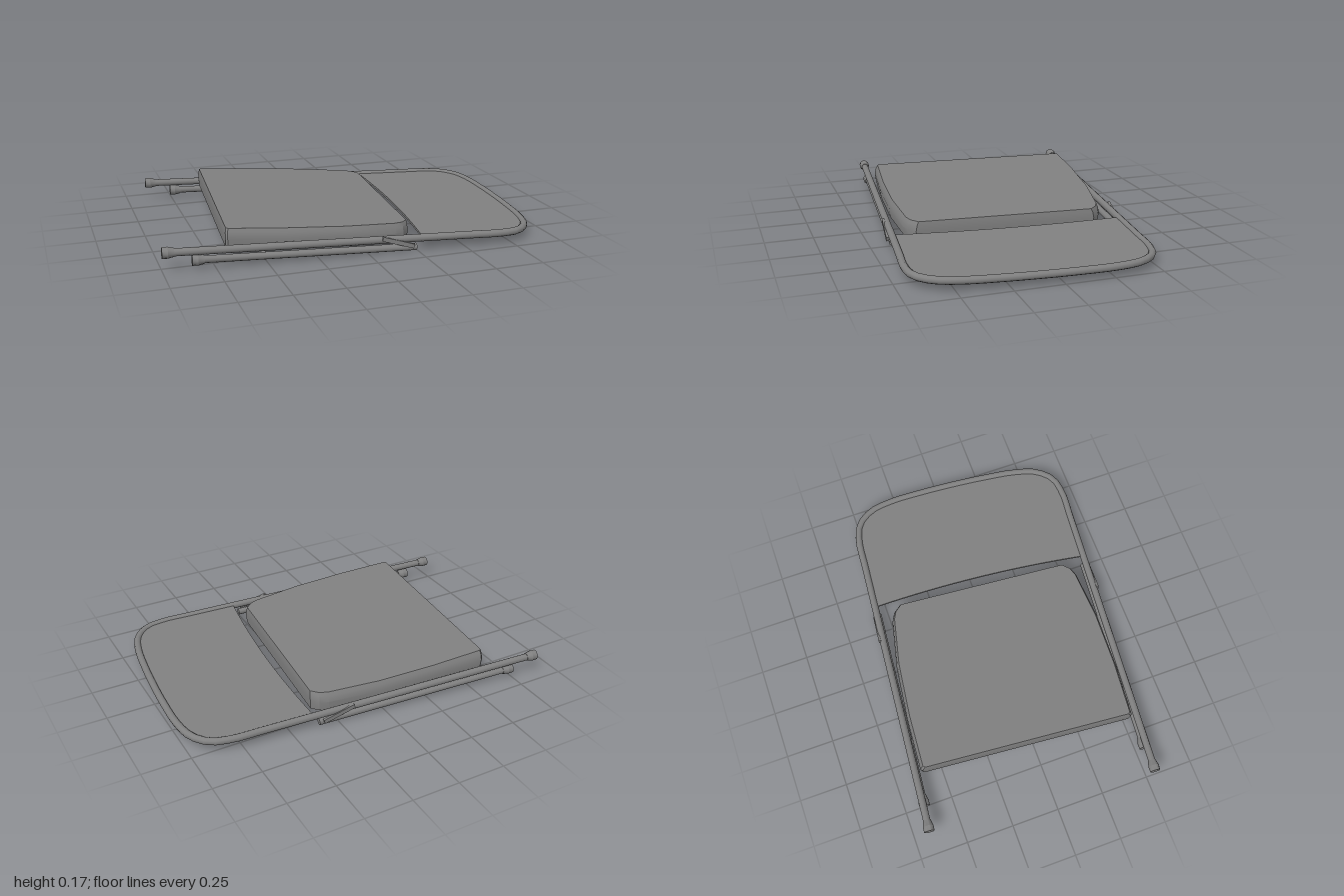
import * as THREE from 'three';
import { toCreasedNormals } from 'three/addons/utils/BufferGeometryUtils.js';

const material = new THREE.MeshStandardMaterial({ color: 0x808080, side: THREE.DoubleSide });

// Heights of the tilted parts along the chair
const frameY = (u) => 0.072 - 0.024 * u;
const rearY = (u) => 0.0255 - 0.0245 * u;
const seatY = (u) => 0.133 - 0.065 * u;

function add(parent, name, geometry) {
  const mesh = new THREE.Mesh(geometry, material);
  mesh.name = name;
  parent.add(mesh);
  return mesh;
}

// Cylinder or cone running from a to b
function rod(parent, name, a, b, ra, rb = ra) {
  const dir = new THREE.Vector3().subVectors(b, a);
  const geometry = toCreasedNormals(new THREE.CylinderGeometry(rb, ra, dir.length(), 10), 0.9);
  const mesh = add(parent, name, geometry);
  mesh.position.addVectors(a, b).multiplyScalar(0.5);
  mesh.quaternion.setFromUnitVectors(new THREE.Vector3(0, 1, 0), dir.normalize());
}

// Rubber foot: blunt cap with a short taper onto the tube
function foot(parent, name, u, w, heightAt) {
  const at = (du) => new THREE.Vector3(u + du, heightAt(u + du), w);
  rod(parent, name, at(0.028), at(0), 0.028, 0.027);
  rod(parent, name, at(0.058), at(0.028), 0.021, 0.028);
}

// Mirror half an outline across w = 0
const mirrored = (half) => [...half, ...half.slice().reverse().filter(([, w]) => w !== 0).map(([u, w]) => [u, -w])];

// Closed cushion made of scaled outline loops: [u scale, w scale, drop below the top]
function seatGeometry() {
  const outline = mirrored([
    [-0.645, 0.562], [-0.635, 0.572], [-0.35, 0.577], [-0.05, 0.566], [0.217, 0.53], [0.26, 0.512], [0.294, 0.475],
  ]);
  const rings = [
    [0, 0, 0], [0.99, 0.97, 0], [0.997, 0.988, 0.02], [1, 1, 0.05], [0.995, 0.99, 0.1], [0, 0, 0.1],
  ];
  const centre = -0.17, n = outline.length, pos = [], index = [];
  for (const [su, sw, drop] of rings) {
    for (const [u0, w] of outline) {
      const u = centre + (u0 - centre) * su;
      pos.push(u, seatY(u) - drop, w * sw);
    }
  }
  for (let r = 0; r < rings.length - 1; r++) {
    for (let i = 0; i < n; i++) {
      const a = r * n + i, b = r * n + (i + 1) % n, c = a + n, d = b + n;
      if (r < rings.length - 2) index.push(a, c, d);
      if (r > 0) index.push(a, d, b);
    }
  }
  const geometry = new THREE.BufferGeometry();
  geometry.setAttribute('position', new THREE.Float32BufferAttribute(pos, 3));
  geometry.setIndex(index);
  return toCreasedNormals(geometry, 0.4);
}

export function createModel() {
  const model = new THREE.Group();
  model.name = 'foldedChair';
  const chair = new THREE.Group();
  chair.name = 'chair';
  chair.rotation.y = -0.0855;
  chair.position.set(-0.001, 0, 0.016);
  model.add(chair);

  // Long bent tube: front legs and back rail in one loop
  const bend = mirrored([[0.74, 0.603], [0.85, 0.577], [0.922, 0.495], [0.954, 0.37], [0.966, 0.2], [0.97, 0]]);
  const path = [[-0.92, 0.603], [0, 0.603], [0.6, 0.603], ...bend, [0.6, -0.603], [0, -0.603], [-0.92, -0.603]];
  const curve = new THREE.CatmullRomCurve3(path.map(([u, w]) => new THREE.Vector3(u, frameY(u), w)));
  add(chair, 'frontFrame', new THREE.TubeGeometry(curve, 90, 0.019, 10));

  // Backrest sheet inside the bend, with a bowed lower edge
  const back = new THREE.Shape();
  back.moveTo(0.33, 0.6);
  bend.forEach(([u, w]) => back.lineTo(u, w));
  back.lineTo(0.33, -0.6);
  back.quadraticCurveTo(0.385, 0, 0.33, 0.6);
  const sheet = new THREE.ExtrudeGeometry(back, { depth: 0.012, bevelEnabled: false, curveSegments: 16 });
  sheet.rotateX(Math.PI / 2);
  const p = sheet.attributes.position;
  for (let i = 0; i < p.count; i++) p.setY(i, p.getY(i) + frameY(p.getX(i)) + 0.006);
  sheet.computeVertexNormals();
  add(chair, 'backrest', sheet);

  // Seat
  add(chair, 'seat', seatGeometry());

  // Rear legs, feet, pivot links
  for (const side of [1, -1]) {
    const w = 0.597 * side;
    rod(chair, 'rearLeg', new THREE.Vector3(-0.78, rearY(-0.78), w), new THREE.Vector3(0.3, rearY(0.3), w), 0.018);
    foot(chair, 'frontFoot', -0.95, 0.603 * side, frameY);
    foot(chair, 'rearFoot', -0.81, w, rearY);

    const link = add(chair, 'pivotLink', new THREE.BoxGeometry(0.17, 0.022, 0.014));
    link.position.set(0.2, 0.055, 0.62 * side);
    link.rotation.z = -0.3;
  }

  // Crossbar between the rear legs
  const barY = rearY(-0.46);
  rod(chair, 'crossbar', new THREE.Vector3(-0.46, barY, -0.597), new THREE.Vector3(-0.46, barY, 0.597), 0.011);

  return model;
}
